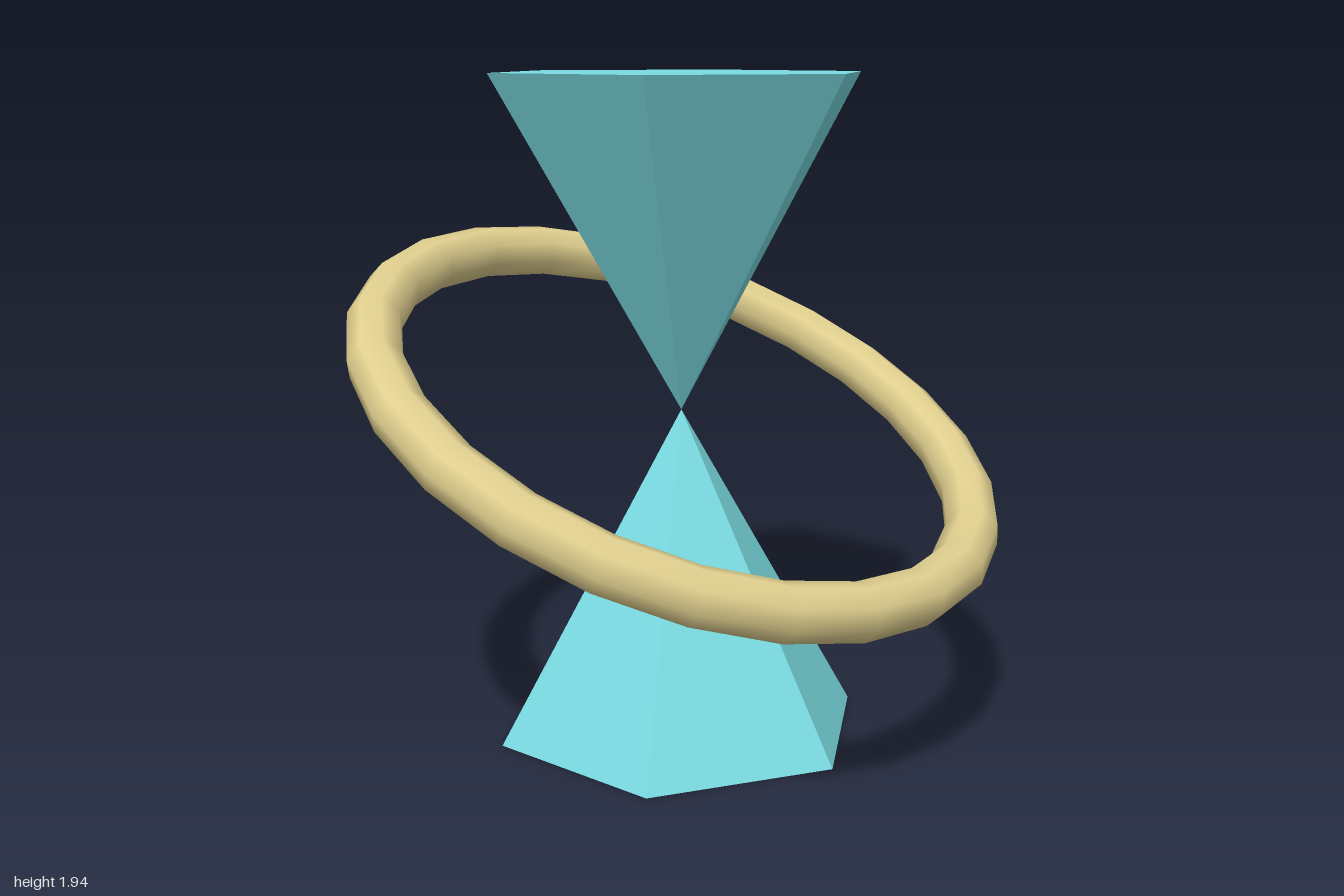
import * as THREE from 'three';

export function createModel() {
  const group = new THREE.Group();
  const teal = new THREE.MeshStandardMaterial({ color: 0x7adce2 });
  teal.name = 'teal';
  teal.flatShading = true;
  const sand = new THREE.MeshStandardMaterial({ color: 0xe0cf8e });
  sand.name = 'sand';

  const height = 0.97; // height of each cone; the tips meet here

  // Two six-sided cones, tip to tip
  const addCone = (name, y, flip) => {
    const cone = new THREE.Mesh(new THREE.ConeGeometry(0.56, height, 6), teal);
    cone.name = name;
    cone.position.y = y;
    if (flip) cone.rotation.x = Math.PI;
    group.add(cone);
  };
  addCone('lowerCone', height / 2, false);
  addCone('upperCone', height * 1.5, true);

  // Ring around the meeting point, tilted down at the front
  const ring = new THREE.Mesh(new THREE.TorusGeometry(0.92, 0.08, 8, 24), sand);
  ring.name = 'tiltedRing';
  ring.position.y = height;
  ring.rotation.x = Math.PI / 2 + 0.45;
  group.add(ring);

  return group;
}
